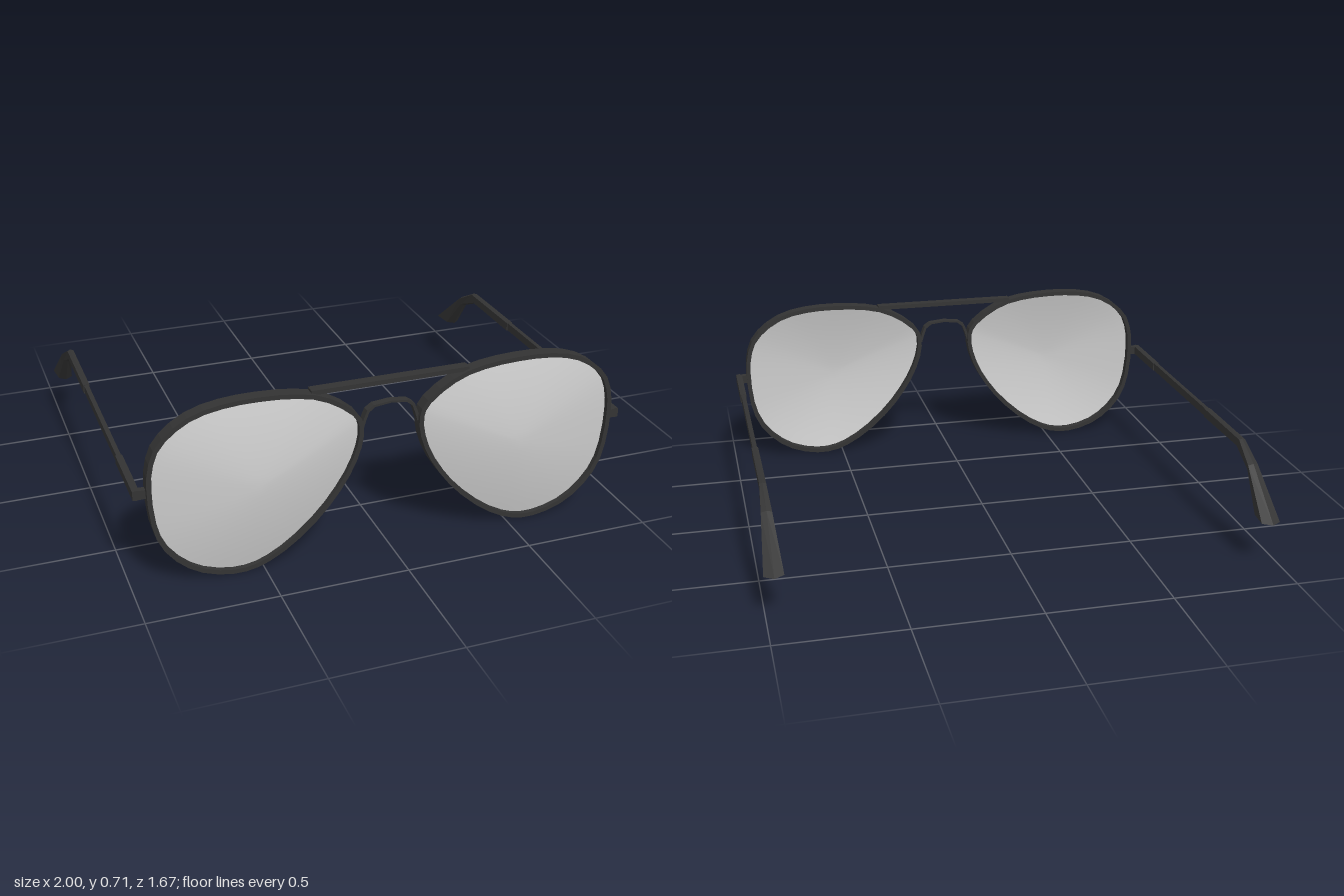
import * as THREE from 'three';

const frameMat = new THREE.MeshStandardMaterial({ color: 0x333333, flatShading: true });
const lensMat = new THREE.MeshStandardMaterial({ color: 0xcccccc, side: THREE.DoubleSide });

// Teardrop outline of the left rim, counterclockwise from the upper inner corner
const outline = new THREE.CatmullRomCurve3([
  [0.30, 0.686], [0.207, 0.642], [0.13, 0.577], [0.111, 0.53], [0.115, 0.46], [0.145, 0.37],
  [0.20, 0.275], [0.276, 0.18], [0.382, 0.085], [0.478, 0.027], [0.555, 0.003], [0.637, 0.003],
  [0.738, 0.032], [0.819, 0.087], [0.885, 0.17], [0.917, 0.27], [0.928, 0.40], [0.923, 0.485],
  [0.897, 0.567], [0.838, 0.632], [0.752, 0.682], [0.645, 0.706], [0.535, 0.712], [0.41, 0.706],
].map(([x, y]) => new THREE.Vector3(x, y, 0)), true)
  .getPoints(40).slice(0, -1).map((p) => new THREE.Vector2(p.x, p.y));

// Moves every point of a closed outline inward by d
function inset(pts, d) {
  const n = pts.length;
  return pts.map((p, i) => {
    const t = pts[(i + 1) % n].clone().sub(pts[(i + n - 1) % n]).normalize();
    return new THREE.Vector2(p.x - t.y * d, p.y + t.x * d);
  });
}

// Outline for one side, always counterclockwise
function sideOutline(d, s) {
  const pts = inset(outline, d).map((p) => new THREE.Vector2(p.x * s, p.y));
  return s < 0 ? pts.reverse() : pts;
}

function addMesh(parent, name, geometry, material = frameMat) {
  const mesh = new THREE.Mesh(geometry, material);
  mesh.name = name;
  parent.add(mesh);
  return mesh;
}

function addBox(parent, name, size, pos) {
  addMesh(parent, name, new THREE.BoxGeometry(...size)).position.set(...pos);
}

function rimGeometry(s) {
  const shape = new THREE.Shape(sideOutline(0, s));
  shape.holes.push(new THREE.Path(sideOutline(0.018, s)));
  const geo = new THREE.ExtrudeGeometry(shape, { depth: 0.05, bevelEnabled: false });
  return geo.translate(0, 0, 0.756);
}

// Shallow dome made of shrinking copies of the outline
function lensGeometry(s) {
  const edge = sideOutline(0.012, s);
  const n = edge.length, rings = 8, cx = 0.52 * s, cy = 0.37;
  const pos = [cx, cy, 0.838], index = [];
  for (let r = 1; r <= rings; r++) {
    const k = r / rings, z = 0.785 + 0.053 * (1 - k ** 1.6);
    for (const p of edge) pos.push(cx + (p.x - cx) * k, cy + (p.y - cy) * k, z);
  }
  for (let j = 0; j < n; j++) {
    const j2 = (j + 1) % n;
    index.push(0, 1 + j, 1 + j2);
    for (let r = 0; r < rings - 1; r++) {
      const a = 1 + r * n + j, b = 1 + r * n + j2;
      index.push(a, a + n, b, b, a + n, b + n);
    }
  }
  const geo = new THREE.BufferGeometry();
  geo.setAttribute('position', new THREE.Float32BufferAttribute(pos, 3));
  geo.setIndex(index);
  geo.computeVertexNormals();
  return geo;
}

// Six-sided loft; section: [top z, top y, bottom z, bottom y, upper half width, lower half width, bevel]
function armGeometry(sections) {
  const pos = [], index = [];
  for (const [z0, y0, z1, y1, up, low, c] of sections) {
    const ring = [[0, 0], [up, c], [low, 1 - c], [0, 1], [-low, 1 - c], [-up, c]];
    for (const [x, t] of ring) pos.push(x, y0 + (y1 - y0) * t, z0 + (z1 - z0) * t);
  }
  const last = (sections.length - 1) * 6;
  for (let i = 0; i < last; i += 6) {
    for (let j = 0; j < 6; j++) {
      const a = i + j, b = i + (j + 1) % 6;
      index.push(a, b, a + 6, b, b + 6, a + 6);
    }
  }
  for (let j = 1; j < 5; j++) index.push(0, j + 1, j, last, last + j, last + j + 1);
  const geo = new THREE.BufferGeometry();
  geo.setAttribute('position', new THREE.Float32BufferAttribute(pos, 3));
  geo.setIndex(index);
  const flat = geo.toNonIndexed();
  flat.computeVertexNormals();
  return flat;
}

const armSections = [
  [0.785, 0.410, 0.785, 0.370, 0.013, 0.013, 0.06],
  [0.50, 0.409, 0.50, 0.370, 0.013, 0.013, 0.06],
  [0.50, 0.408, 0.50, 0.370, 0.009, 0.009, 0.06],
  [-0.13, 0.407, -0.13, 0.369, 0.009, 0.009, 0.06],
  [-0.13, 0.408, -0.13, 0.367, 0.013, 0.013, 0.06],
  [-0.50, 0.408, -0.475, 0.367, 0.013, 0.013, 0.1],
  [-0.62, 0.346, -0.60, 0.310, 0.021, 0.017, 0.18],
  [-0.837, 0.175, -0.70, 0.175, 0.038, 0.029, 0.18],
];

// Thin arched ribbon between the rims
function bridgeGeometry() {
  const half = [[0.118, 0.515], [0.107, 0.55], [0.094, 0.582], [0.068, 0.60], [0, 0.607]];
  const arch = [...half, ...half.slice(0, -1).reverse().map(([x, y]) => [-x, y])]
    .map(([x, y]) => new THREE.Vector2(x, y));
  const inner = arch.map((p) => new THREE.Vector2(p.x * 0.91, p.y - 0.008)).reverse();
  const geo = new THREE.ExtrudeGeometry(new THREE.Shape([...arch, ...inner]), { depth: 0.03, bevelEnabled: false });
  return geo.translate(0, 0, 0.762);
}

export function createModel() {
  const model = new THREE.Group();
  model.name = 'sunglasses';

  for (const s of [1, -1]) {
    const side = s > 0 ? 'left' : 'right';
    addMesh(model, side + 'Rim', rimGeometry(s));
    addMesh(model, side + 'Lens', lensGeometry(s), lensMat);
    addBox(model, side + 'Hinge', [0.055, 0.036, 0.024], [s * 0.946, 0.39, 0.773]);
    addMesh(model, side + 'Temple', armGeometry(armSections)).position.x = s * 0.962;
  }

  addBox(model, 'browBar', [0.62, 0.018, 0.04], [0, 0.689, 0.774]);
  addMesh(model, 'noseBridge', bridgeGeometry());
  return model;
}
